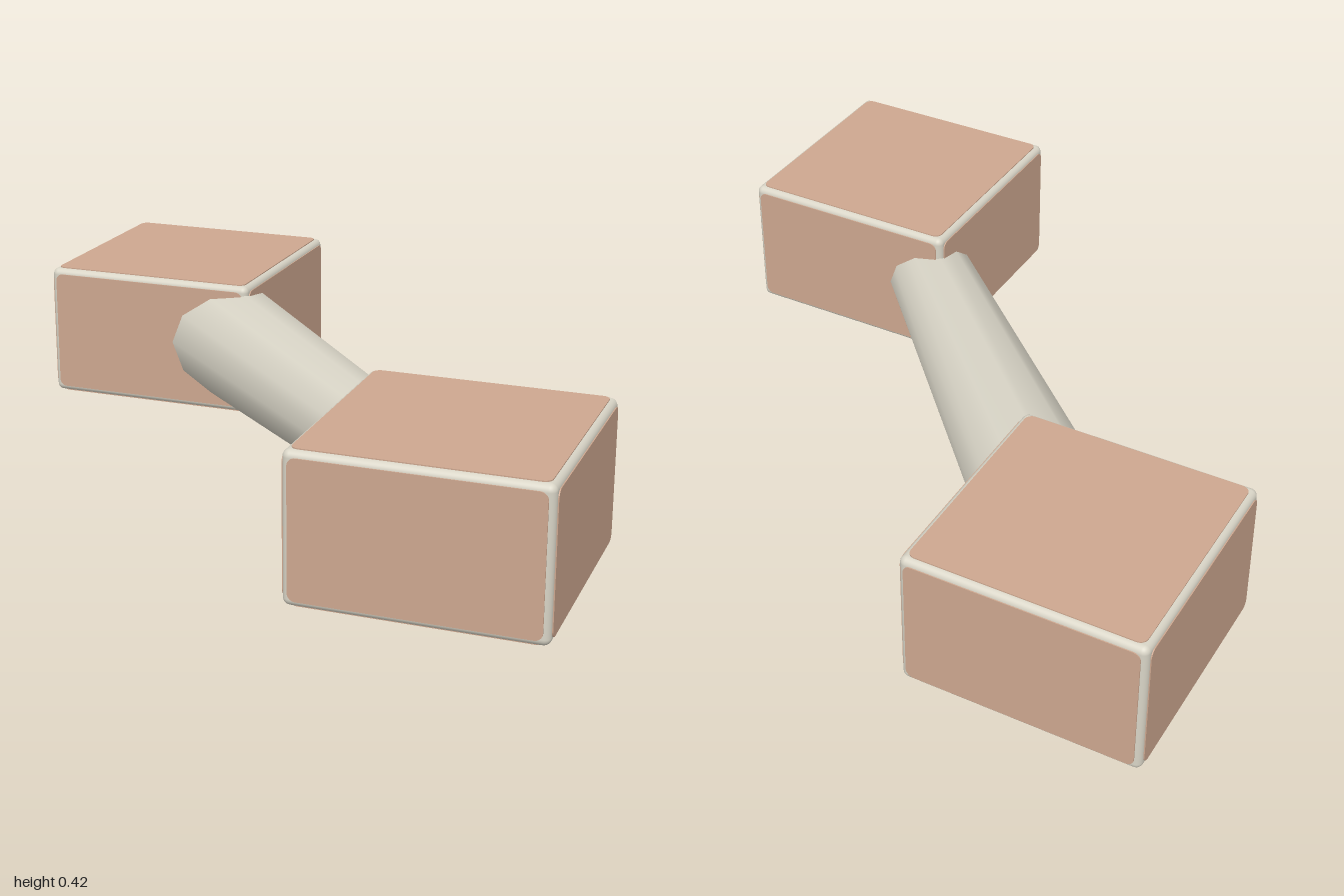
import * as THREE from 'three';
import { RoundedBoxGeometry } from 'three/addons/geometries/RoundedBoxGeometry.js';

const W = 0.69, H = 0.42, PROUD = 0.003, RIM = 0.02;

const cream = new THREE.MeshStandardMaterial({ name: 'cream', color: 0xd8d4c6 });
const clay = new THREE.MeshStandardMaterial({ name: 'clay', color: 0xcda78f });

// thin plate with rounded corners, facing +z, its back on z = 0
function plateGeometry(w, h, r = 0.022) {
  const x = w / 2, y = h / 2, s = new THREE.Shape();
  s.absarc(x - r, y - r, r, 0, Math.PI / 2);
  s.absarc(-x + r, y - r, r, Math.PI / 2, Math.PI);
  s.absarc(-x + r, -y + r, r, Math.PI, Math.PI * 1.5);
  s.absarc(x - r, -y + r, r, Math.PI * 1.5, Math.PI * 2);
  return new THREE.ExtrudeGeometry(s, { depth: PROUD, bevelEnabled: false, curveSegments: 4 });
}

// rounded cream block with a clay panel on each of its six faces
function createBlock(name) {
  const block = new THREE.Group();
  block.name = name;
  const w = W - PROUD * 2, h = H - PROUD * 2;
  const core = new THREE.Mesh(new RoundedBoxGeometry(w, h, w, 4, RIM), cream);
  core.name = 'blockFrame';
  block.add(core);

  const side = plateGeometry(W - RIM * 2, H - RIM * 2);
  const cap = plateGeometry(W - RIM * 2, W - RIM * 2);
  for (let i = 0; i < 4; i++) {
    const panel = new THREE.Mesh(side, clay);
    panel.name = 'sidePanel';
    panel.rotation.y = i * Math.PI / 2;
    panel.position.set(0, 0, w / 2).applyEuler(panel.rotation);
    block.add(panel);
  }
  for (const s of [1, -1]) {
    const panel = new THREE.Mesh(cap, clay);
    panel.name = s > 0 ? 'topPanel' : 'bottomPanel';
    panel.rotation.x = -s * Math.PI / 2;
    panel.position.y = s * h / 2;
    block.add(panel);
  }
  return block;
}

export function createModel() {
  const model = new THREE.Group();
  model.name = 'linkedBlocks';

  // two blocks on opposite corners
  for (const [name, s] of [['frontBlock', 1], ['backBlock', -1]]) {
    const block = createBlock(name);
    block.position.set(s * (1 - W / 2), H / 2, s * (1 - W / 2));
    model.add(block);
  }

  // tapered diagonal bar, thicker at the back
  const bar = new THREE.Mesh(
    new THREE.CylinderGeometry(0.118, 0.196, 1.8, 12).rotateX(Math.PI / 2), cream);
  bar.name = 'connectingBar';
  bar.rotation.y = Math.PI / 4;
  bar.position.y = 0.214;
  model.add(bar);

  return model;
}
